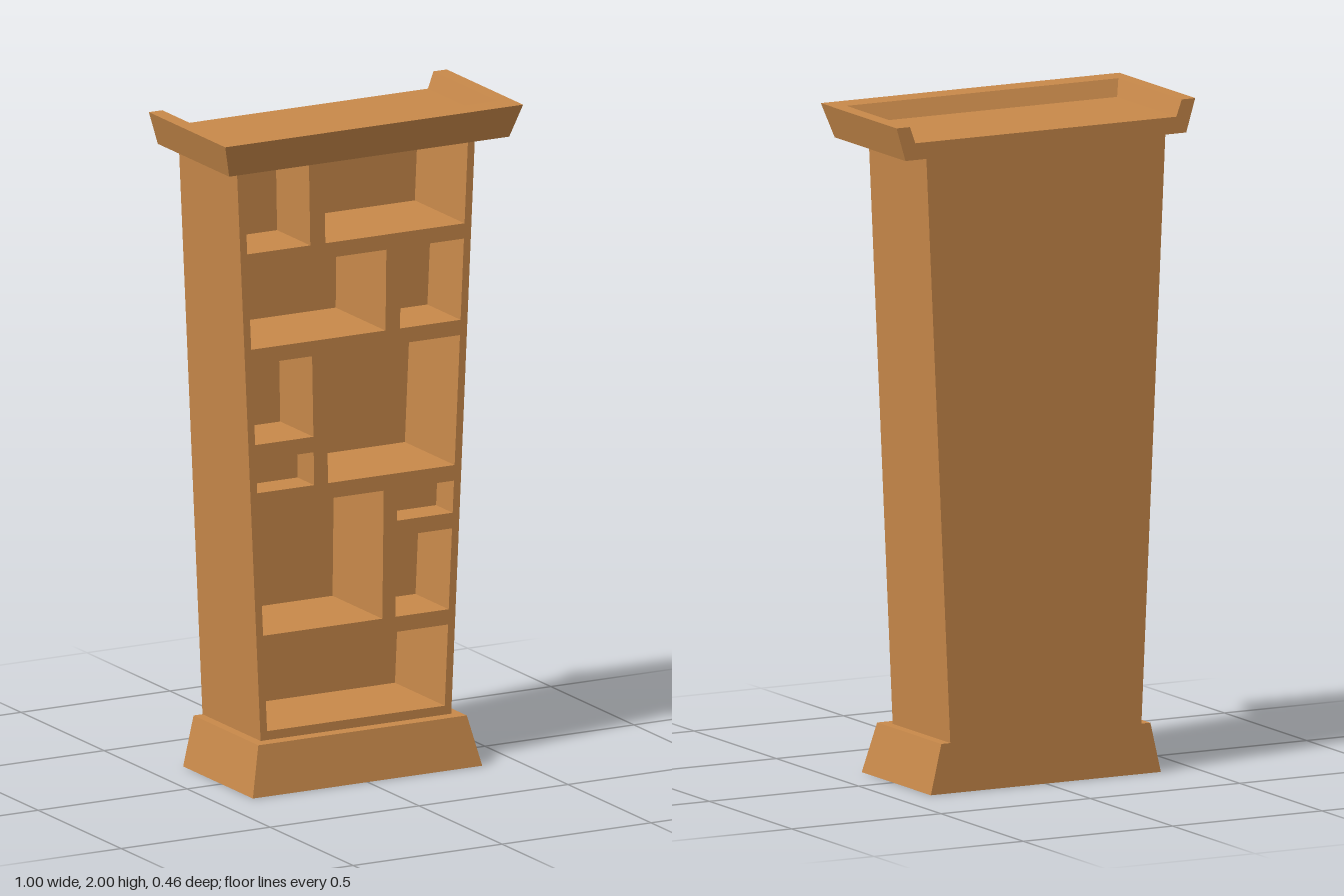
import * as THREE from 'three';

const BACK = -0.23, FRONT = 0.12, LOW = 0.15, HIGH = 1.9;

// Flat-sided mesh from four-cornered faces, corners anticlockwise from outside
function quadMesh(name, quads, material) {
  const points = quads.flatMap(([a, b, c, d]) => [a, b, c, a, c, d]).flat();
  const geometry = new THREE.BufferGeometry();
  geometry.setAttribute('position', new THREE.Float32BufferAttribute(points, 3));
  geometry.computeVertexNormals();
  const mesh = new THREE.Mesh(geometry, material);
  mesh.name = name;
  return mesh;
}

// U-shaped outline round the left, front and right; the back stays flush
const outline = (half, y, front) =>
  [[-half, y, BACK], [-half, y, front], [half, y, front], [half, y, BACK]];

// Three side faces joining two U outlines
const sides = (a, b) => [0, 1, 2].map(i => [a[i], a[i + 1], b[i + 1], b[i]]);
const topFace = p => [p[1], p[2], p[3], p[0]];
const bottomFace = p => [p[0], p[3], p[2], p[1]];
const backFace = (a, b) => [a[3], a[0], b[0], b[3]];

// Half width of the tapered body at height y
const halfAt = y => 0.32 + (y - LOW) * 0.08 / (HIGH - LOW);

// Compartments: left, right (share of the half width; +-1 = outer frame), bottom, top, depth
const A = 0.265, B = 0.395;
const compartments = [
  [-1, -B, 1.632, 1.877, 0.2], [-A, 1, 1.632, 1.877, 0.3],
  [-1, A, 1.341, 1.586, 0.3], [B, 1, 1.341, 1.586, 0.2],
  [-1, -B, 1.05, 1.295, 0.2], [-1, -B, 0.903, 1.003, 0.1], [-A, 1, 0.903, 1.295, 0.3],
  [-1, A, 0.468, 0.856, 0.3], [B, 1, 0.759, 0.856, 0.1], [B, 1, 0.468, 0.712, 0.2],
  [-1, 1, 0.177, 0.422, 0.3],
];
const edgeX = (share, y) =>
  Math.abs(share) === 1 ? share * (halfAt(y) - 0.023) : share * halfAt(y);

export function createModel() {
  const wood = new THREE.MeshStandardMaterial({ color: 0xc8894a });
  wood.name = 'warm wood';
  const model = new THREE.Group();
  model.name = 'tapered bookcase';

  // Flared plinth
  const foot = outline(0.385, 0, 0.19), footTop = outline(0.35, LOW, 0.16);
  model.add(quadMesh('plinth',
    [...sides(foot, footTop), topFace(footTop), bottomFace(foot), backFace(foot, footTop)], wood));

  // Tapered case: sides and back
  const low = outline(halfAt(LOW), LOW, FRONT), high = outline(halfAt(HIGH), HIGH, FRONT);
  const [left, , right] = sides(low, high);
  model.add(quadMesh('case', [left, right, backFace(low, high)], wood));

  // Front frame with an opening for each compartment
  const frame = new THREE.Shape([low[1], low[2], high[2], high[1]]
    .map(([x, y]) => new THREE.Vector2(x, y)));
  const shelves = new THREE.Group();
  shelves.name = 'compartments';
  for (const [l, r, y0, y1, depth] of compartments) {
    const corners = [[l, y0], [r, y0], [r, y1], [l, y1]].map(([s, y]) => [edgeX(s, y), y]);
    frame.holes.push(new THREE.Path(corners.map(([x, y]) => new THREE.Vector2(x, y))));
    const mouth = corners.map(([x, y]) => [x, y, FRONT]);
    const rear = corners.map(([x, y]) => [x, y, FRONT - depth]);
    const walls = mouth.map((p, i) => {
      const j = (i + 1) % 4;
      return [p, mouth[j], rear[j], rear[i]];
    });
    shelves.add(quadMesh('compartment', [...walls, rear], wood));
  }
  const frontFrame = new THREE.Mesh(new THREE.ShapeGeometry(frame), wood);
  frontFrame.name = 'frontFrame';
  frontFrame.position.z = FRONT;
  model.add(frontFrame, shelves);

  // Flared top tray with a raised rim, open at the back
  const a = outline(0.47, HIGH, 0.2), b = outline(0.5, 2, 0.23);
  const c = outline(0.455, 2, 0.155), d = outline(0.437, 1.95, 0.13);
  model.add(quadMesh('topTray', [
    ...sides(a, b), ...sides(b, c), ...sides(c, d), topFace(d), bottomFace(a),
    backFace(a, d), [a[0], b[0], c[0], d[0]], [a[3], d[3], c[3], b[3]],
  ], wood));

  return model;
}
